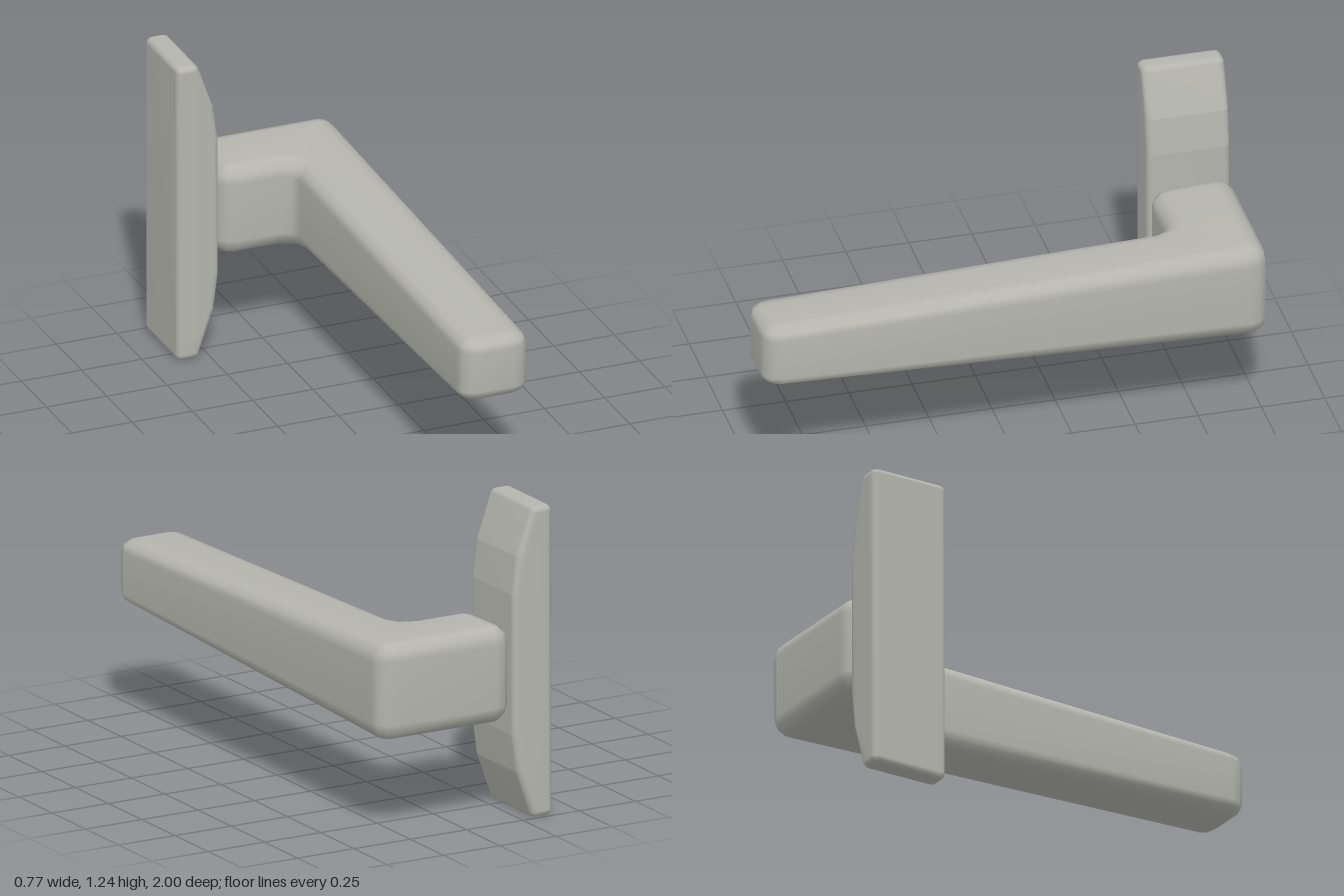
import * as THREE from 'three';
import { mergeVertices } from 'three/addons/utils/BufferGeometryUtils.js';

// Solid with rounded edges: a counter-clockwise outline (u, v), extruded by +-half along w.
// place(u, v, w) turns profile coordinates into [x, y, z].
function roundedSolid(outline, half, radius, segments, place) {
  const pts = outline.map(([u, v]) => new THREE.Vector2(u, v));
  const n = pts.length;
  const normals = pts.map((p, i) => {
    const d = pts[(i + 1) % n].clone().sub(p).normalize();
    return new THREE.Vector2(d.y, -d.x);
  });

  // Each corner: inset core point plus its fan of outward directions
  const starts = [], cores = [], fan = [];
  pts.forEach((p, i) => {
    const a = normals[(i + n - 1) % n], b = normals[i];
    const miter = a.clone().add(b).divideScalar(1 + a.dot(b));
    const core = p.clone().addScaledVector(miter, -radius);
    cores.push(core);
    starts.push(fan.length);
    const turn = Math.atan2(a.cross(b), a.dot(b));
    if (turn < 0) fan.push([core, miter]);
    else {
      const steps = Math.max(1, Math.round(segments * turn / (Math.PI / 2)));
      for (let k = 0; k <= steps; k++) {
        fan.push([core, a.clone().rotateAround(new THREE.Vector2(), turn * k / steps)]);
      }
    }
  });

  // Rings from the bottom cap over the rounded edges to the top cap
  const rings = [];
  for (const side of [-1, 1]) {
    for (let k = 0; k <= segments; k++) {
      const angle = (side < 0 ? segments - k : k) / segments * Math.PI / 2;
      rings.push([radius * Math.cos(angle), side * (half - radius + radius * Math.sin(angle))]);
    }
  }
  const positions = [], index = [], m = fan.length;
  for (const [r, w] of rings) {
    for (const [c, d] of fan) positions.push(...place(c.x + r * d.x, c.y + r * d.y, w));
  }
  for (let i = 0; i < rings.length - 1; i++) {
    for (let j = 0; j < m; j++) {
      const a = i * m + j, b = i * m + (j + 1) % m;
      index.push(a, b, b + m, a, b + m, a + m);
    }
  }
  const top = (rings.length - 1) * m;
  for (const [a, b, c] of THREE.ShapeUtils.triangulateShape(cores, [])) {
    index.push(starts[a], starts[c], starts[b]);
    index.push(top + starts[a], top + starts[b], top + starts[c]);
  }

  const geometry = new THREE.BufferGeometry();
  geometry.setAttribute('position', new THREE.Float32BufferAttribute(positions, 3));
  geometry.setIndex(index);
  const merged = mergeVertices(geometry, 1e-4);
  merged.computeVertexNormals();
  return merged;
}

export function createModel() {
  const group = new THREE.Group();
  group.name = 'doorHandle';
  const metal = new THREE.MeshStandardMaterial({ color: 0xb5b5ae });
  metal.name = 'satin metal';

  // Backplate: flat against the door, sloped towards both ends
  const upper = [[-0.21, 0.9], [-0.23, 1.05], [-0.297, 1.24], [-0.385, 1.24]];
  const lower = upper.map(([x, y]) => [x, 1.24 - y]).reverse();
  const plate = new THREE.Mesh(
    roundedSolid([...lower, ...upper], 0.165, 0.025, 3, (x, y, z) => [x, y, z - 0.835]), metal);
  plate.name = 'backplate';
  group.add(plate);

  // Lever: L-shaped in plan (z, x), its height tapering towards the grip end
  const plan = [
    [-1, -0.21], [-0.67, -0.21], [-0.67, 0.04], [-0.652, 0.082], [-0.61, 0.1],
    [1, 0.1], [1, 0.383], [-1, 0.383],
  ];
  const taper = (z) => THREE.MathUtils.lerp(1, 0.655, (z + 1) / 2);
  const lever = new THREE.Mesh(
    roundedSolid(plan, 0.197, 0.072, 3, (z, x, y) => [x, 0.587 + y * taper(z), z]), metal);
  lever.name = 'lever';
  group.add(lever);

  return group;
}
